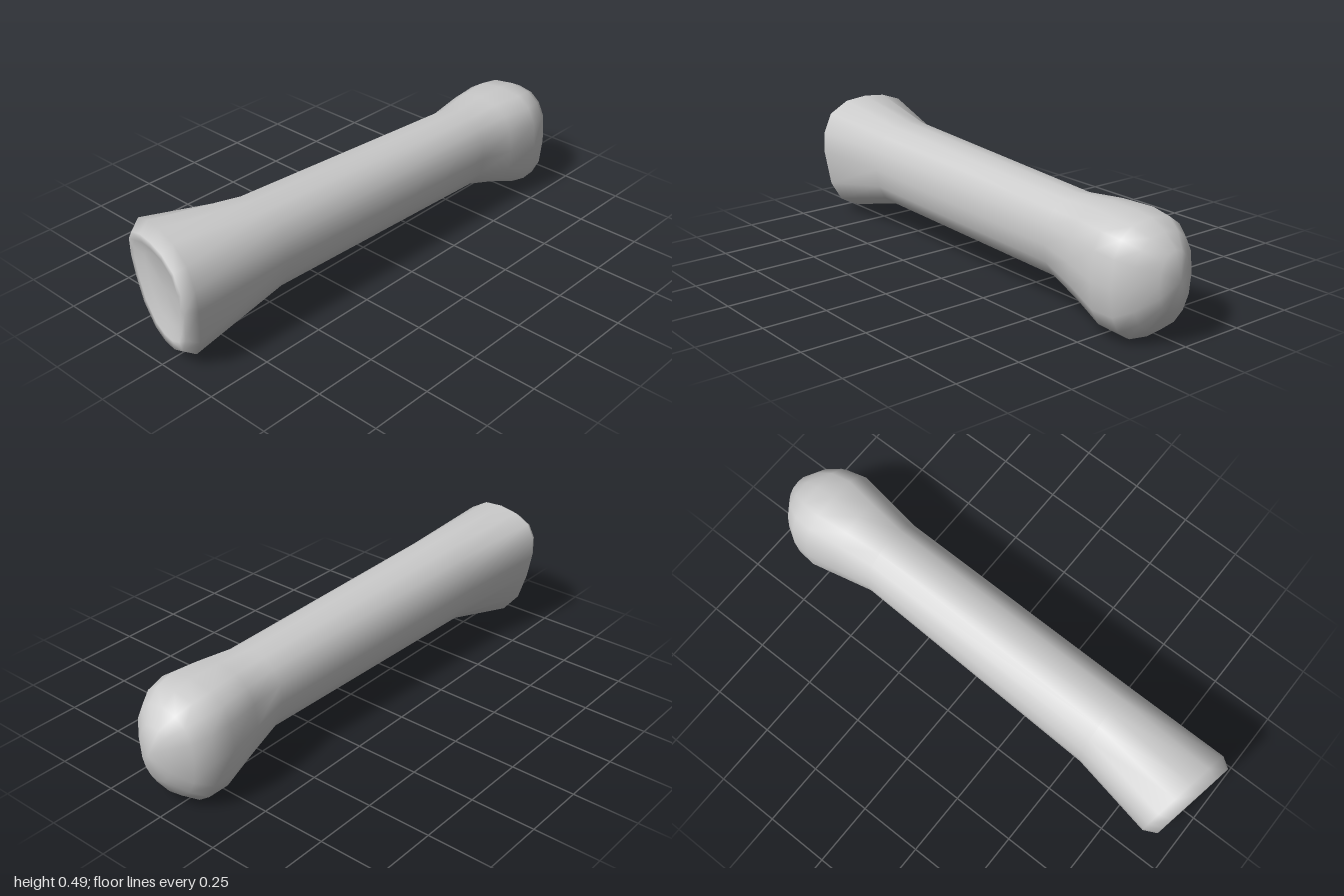
import * as THREE from 'three';

const SIDES = 16;

// Outline of the flared base, clockwise from its top as seen from the front
const BASE = [
  [-0.04, 0.49], [0.045, 0.477], [0.12, 0.43], [0.155, 0.35],
  [0.16, 0.27], [0.14, 0.13], [0.1, 0.055], [0.03, 0.02],
  [-0.04, 0.018], [-0.11, 0.045], [-0.18, 0.13], [-0.215, 0.24],
  [-0.23, 0.33], [-0.225, 0.41], [-0.19, 0.46], [-0.12, 0.485],
];

// Base ring: the outline shrunk about its middle, on a slightly slanted plane
function baseRing(scale, offset) {
  return BASE.map(([px, py]) => {
    const x = -0.035 + (px + 0.035) * scale;
    const y = 0.265 + (py - 0.265) * scale;
    return [x, y, 0.915 + 0.18 * (x + 0.04) + 0.06 * (y - 0.25) + offset];
  });
}

// Rounded ring fitted between its limits; a higher power is squarer
function roundRing(z, left, right, bottom, top, power) {
  const bend = (v) => Math.sign(v) * Math.abs(v) ** (2 / power);
  return Array.from({ length: SIDES }, (_, k) => {
    const a = (k / SIDES) * Math.PI * 2;
    return [
      (left + right) / 2 + ((right - left) / 2) * bend(Math.sin(a)),
      (bottom + top) / 2 + ((top - bottom) / 2) * bend(Math.cos(a)),
      z,
    ];
  });
}

// Closed skin through the rings, with a pole at each end
function loft(rings, frontPole, backPole) {
  const points = [...rings.flat(), frontPole, backPole];
  const front = points.length - 2, back = points.length - 1;
  const last = (rings.length - 1) * SIDES;
  const index = [];
  for (let k = 0; k < SIDES; k++) {
    const n = (k + 1) % SIDES;
    index.push(front, n, k, back, last + k, last + n);
    for (let i = 0; i < last; i += SIDES) {
      index.push(i + k, i + n, i + SIDES + k);
      index.push(i + n, i + SIDES + n, i + SIDES + k);
    }
  }
  const geometry = new THREE.BufferGeometry();
  geometry.setAttribute('position', new THREE.Float32BufferAttribute(points.flat(), 3));
  geometry.setIndex(index);
  geometry.computeVertexNormals();
  return geometry;
}

export function createModel() {
  const rings = [
    // dished joint face and its rim
    baseRing(0.55, 0.025),
    baseRing(0.74, 0.045),
    baseRing(0.87, 0.045),
    baseRing(1, 0),
    // shaft
    roundRing(0.55, -0.155, 0.165, 0.108, 0.455, 2.2),
    roundRing(-0.5, -0.11, 0.185, 0.1, 0.415, 2.2),
    // rounded head
    roundRing(-0.65, -0.133, 0.208, 0.055, 0.428, 2.4),
    roundRing(-0.78, -0.148, 0.228, 0.01, 0.427, 2.7),
    roundRing(-0.86, -0.137, 0.212, 0, 0.417, 2.6),
    roundRing(-0.92, -0.1, 0.172, 0.045, 0.385, 2.4),
    roundRing(-0.97, -0.035, 0.105, 0.12, 0.335, 2.2),
  ];
  const bone = new THREE.Mesh(
    loft(rings, [-0.03, 0.26, 0.935], [0.035, 0.235, -1]),
    new THREE.MeshStandardMaterial({ color: 0xcccccc })
  );
  bone.name = 'bone';
  const group = new THREE.Group();
  group.name = 'longBone';
  group.add(bone);
  return group;
}
